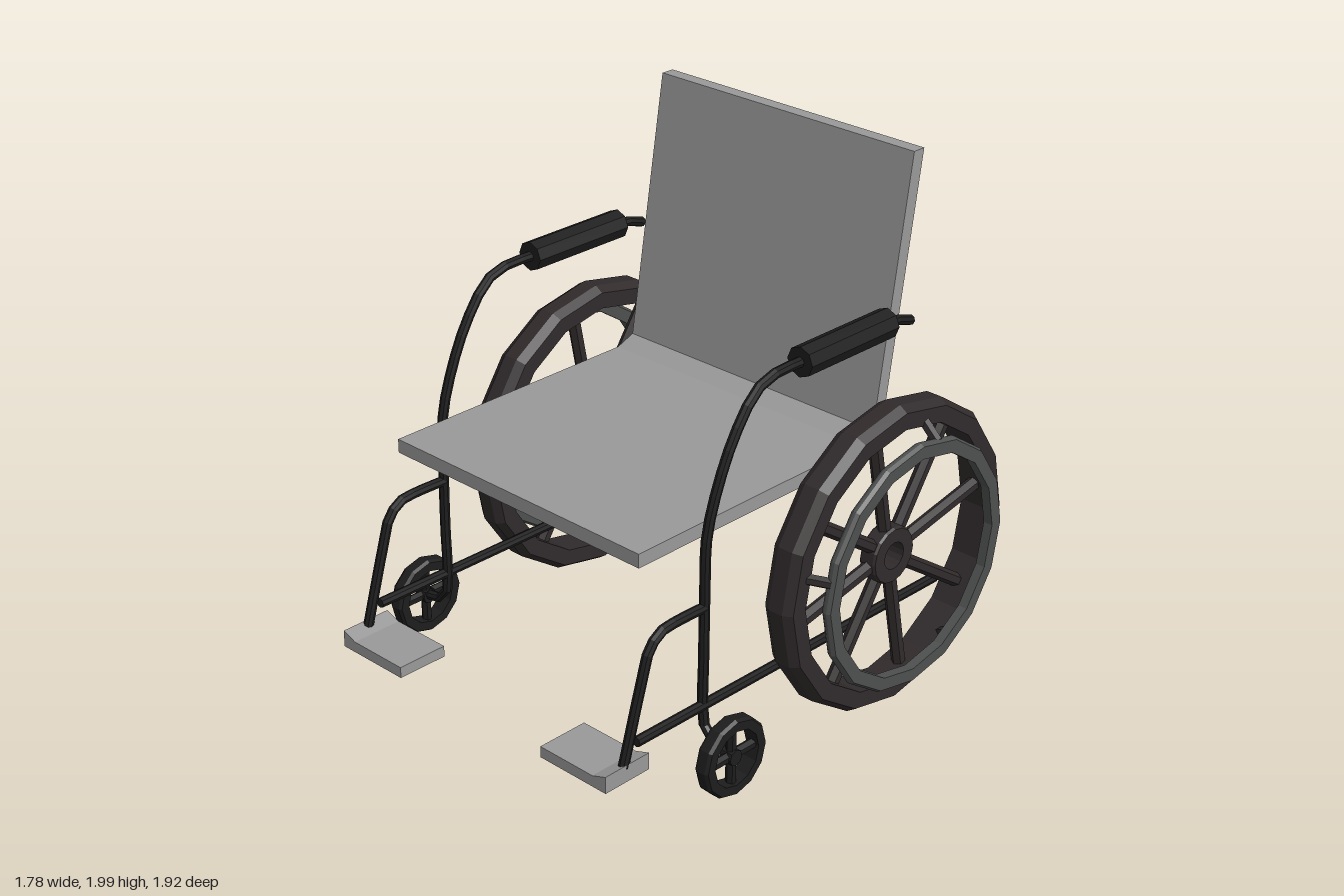
import * as THREE from 'three';

const material = (color) => new THREE.MeshStandardMaterial({ color, flatShading: true });
const grey = material(0x999999);
const black = material(0x1d1d1d);
const rubber = material(0x302a2b);
const rimGrey = material(0x4e4f4f);
const V = (x, y, z) => new THREE.Vector3(x, y, z);

function add(parent, name, geometry, mat) {
  const mesh = new THREE.Mesh(geometry, mat);
  mesh.name = name;
  parent.add(mesh);
  return mesh;
}

// Straight round bar between two points
function bar(parent, name, a, b, radius, mat, sides = 8) {
  const mesh = add(parent, name, new THREE.CylinderGeometry(radius, radius, a.distanceTo(b), sides), mat);
  mesh.position.copy(a).add(b).multiplyScalar(0.5);
  mesh.quaternion.setFromUnitVectors(V(0, 1, 0), b.clone().sub(a).normalize());
}

// Bent tube through points, closed with a disc at each end
function bentTube(parent, name, points, radius, segments) {
  const curve = new THREE.CatmullRomCurve3(points);
  const group = new THREE.Group();
  group.name = name;
  parent.add(group);
  add(group, name + 'Tube', new THREE.TubeGeometry(curve, segments, radius, 8), black);
  for (const t of [0, 1]) {
    const cap = add(group, name + 'Cap', new THREE.CircleGeometry(radius, 8), black);
    const out = curve.getTangent(t).multiplyScalar(t ? 1 : -1);
    cap.position.copy(curve.getPoint(t));
    cap.quaternion.setFromUnitVectors(V(0, 0, 1), out);
  }
}

// Ring around the x axis with chamfered outer edges
function ring(parent, name, inner, outer, width, chamfer, sides, mat) {
  const h = width / 2;
  const profile = [
    [inner, -h], [outer - chamfer, -h], [outer, -h + chamfer * 1.5],
    [outer, h - chamfer * 1.5], [outer - chamfer, h], [inner, h], [inner, -h],
  ].map(([r, y]) => new THREE.Vector2(r, y));
  return add(parent, name, new THREE.LatheGeometry(profile, sides).rotateZ(Math.PI / 2), mat);
}

// Point on a circle around the x axis
const polar = (x, r, degrees) => {
  const a = THREE.MathUtils.degToRad(degrees);
  return V(x, r * Math.sin(a), -r * Math.cos(a));
};

function rearWheel(s) {
  const wheel = new THREE.Group();
  wheel.name = 'rearWheel';
  wheel.position.set(s * 0.745, 0.598, -0.37);
  ring(wheel, 'tyre', 0.505, 0.59, 0.128, 0.022, 16, rubber);
  ring(wheel, 'hub', 0.052, 0.11, 0.07, 0.006, 16, rubber);
  for (let i = 0; i < 8; i++) {
    const a = 11 + i * 45;
    bar(wheel, 'spoke', polar(0, 0.09, a), polar(0, 0.52, a), 0.026, rubber, 6);
  }
  // Push rim and its slanted brackets
  ring(wheel, 'handRim', 0.42, 0.477, 0.038, 0.009, 16, rimGrey).position.x = s * 0.125;
  for (const a of [11, 77, 167, 303]) {
    bar(wheel, 'rimBracket', polar(s * 0.04, 0.515, a), polar(s * 0.122, 0.455, a), 0.021, rubber, 6);
  }
  return wheel;
}

function caster(s) {
  const wheel = new THREE.Group();
  wheel.name = 'caster';
  wheel.position.set(s * 0.785, 0.164, 0.475);
  ring(wheel, 'casterTyre', 0.108, 0.151, 0.06, 0.008, 12, black);
  bar(wheel, 'casterHub', V(-0.025, 0, 0), V(0.025, 0, 0), 0.03, black);
  for (const a of [0, 90]) {
    bar(wheel, 'casterSpoke', polar(0, 0.125, a), polar(0, 0.125, a + 180), 0.019, black, 6);
  }
  return wheel;
}

function sideAssembly(s) {
  const side = new THREE.Group();
  side.name = s > 0 ? 'leftSide' : 'rightSide';
  const x = s * 0.655;
  const path = (points) => points.map(([z, y]) => V(x, y, z));

  // Arm tube runs over the arm, down the front and out to the caster axle
  bentTube(side, 'armFrame', [
    ...path([[-0.56, 1.41], [-0.46, 1.438], [-0.35, 1.44], [0.0, 1.44], [0.14, 1.44], [0.23, 1.41],
      [0.33, 1.29], [0.41, 1.13], [0.465, 0.95], [0.472, 0.75], [0.475, 0.5], [0.475, 0.26]]),
    V(s * 0.68, 0.19, 0.475), V(s * 0.785, 0.166, 0.475),
  ], 0.019, 28);
  bar(side, 'armPad', V(x, 1.44, -0.43), V(x, 1.44, 0.02), 0.056, black);
  bar(side, 'lowerRail', V(x, 0.31, 0.8), V(x, 0.3, -0.77), 0.019, black);
  bentTube(side, 'footrestTube',
    path([[0.475, 0.69], [0.6, 0.692], [0.68, 0.685], [0.735, 0.64], [0.77, 0.54], [0.86, 0.24]]), 0.019, 14);

  // Foot plate with a raised outer lip
  const plate = new THREE.Shape([[0.36, 0.19], [0.672, 0.19], [0.672, 0.255], [0.61, 0.233], [0.36, 0.233]]
    .map(([px, y]) => new THREE.Vector2(s * px, y)));
  add(side, 'footPlate', new THREE.ExtrudeGeometry(plate, { depth: 0.205, bevelEnabled: false })
    .translate(0, 0, 0.755), grey);

  side.add(rearWheel(s), caster(s));
  return side;
}

export function createModel() {
  const model = new THREE.Group();
  model.name = 'wheelchair';

  // Seat and backrest as one bent slab, drawn as (-z, y) and extruded across x
  const slab = new THREE.Shape([
    [-0.725, 0.917], [0.37, 0.917], [0.495, 0.975], [0.665, 2.0], [0.612, 2.0], [0.448, 1.0], [0.37, 0.97], [-0.725, 0.97],
  ].map(([z, y]) => new THREE.Vector2(z, y)));
  add(model, 'seatAndBackrest', new THREE.ExtrudeGeometry(slab, { depth: 1.194, bevelEnabled: false })
    .translate(0, 0, -0.597).rotateY(Math.PI / 2), grey);

  for (const s of [1, -1]) model.add(sideAssembly(s));
  return model;
}
